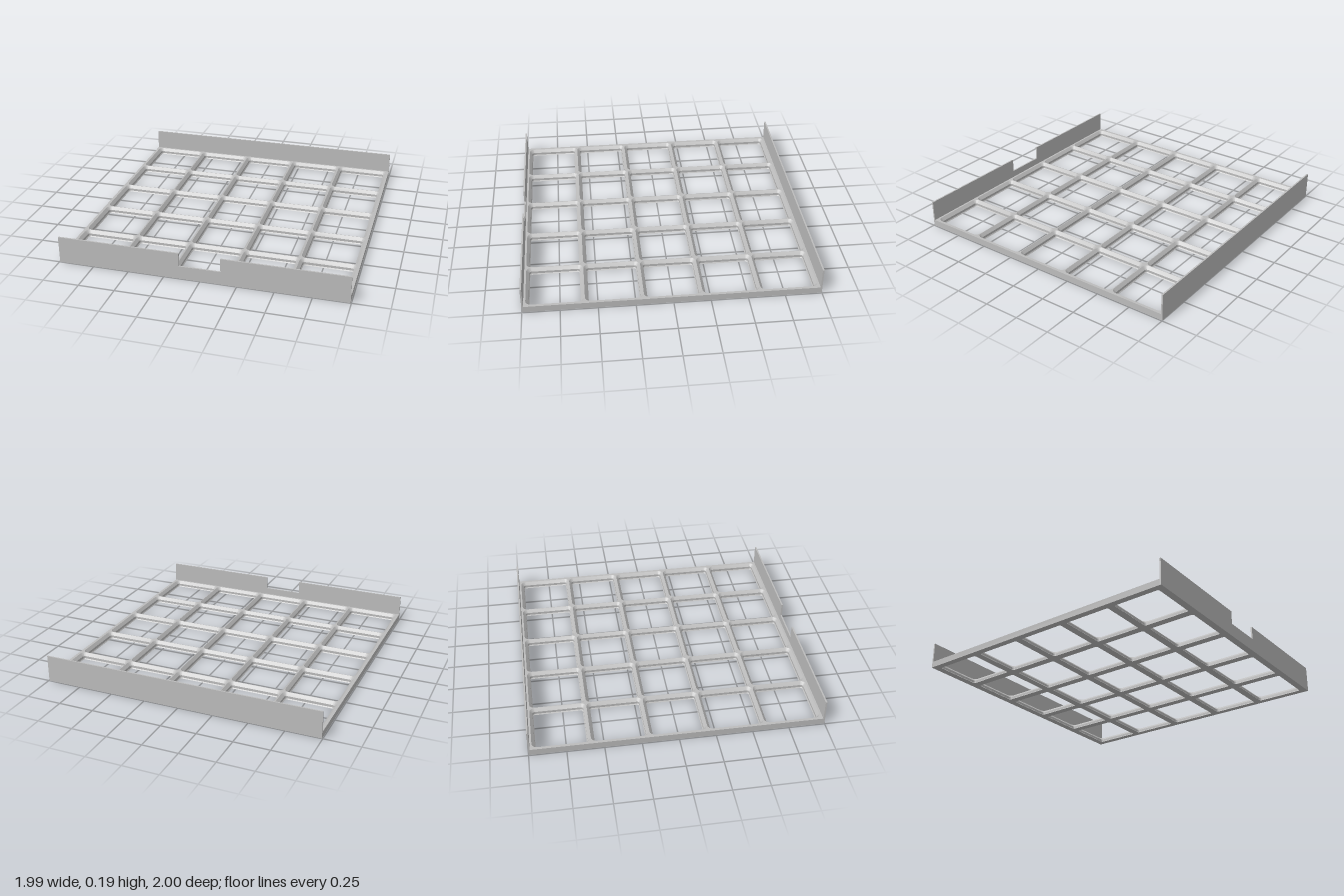
import * as THREE from 'three';
import { mergeGeometries, toCreasedNormals } from 'three/addons/utils/BufferGeometryUtils.js';

const HALF_X = 0.995, HALF_Z = 1, WALL = 0.011;
const PLATE_H = 0.044, WALL_H = 0.19;
const CELLS = 5, PITCH = 0.391;

// Pocket profile from top to bottom: height, half width, corner radius
const PROFILE = [
  [PLATE_H, 0.1935, 0.037],
  [0.0235, 0.1745, 0.018],
  [0.0065, 0.1745, 0.018],
  [0, 0.169, 0.0125],
];

// Counter-clockwise rounded square
function ring(cx, cy, half, radius, steps = 6) {
  const points = [];
  for (let corner = 0; corner < 4; corner++) {
    const mid = (corner + 0.5) * Math.PI / 2;
    const ox = cx + Math.sign(Math.cos(mid)) * (half - radius);
    const oy = cy + Math.sign(Math.sin(mid)) * (half - radius);
    for (let i = 0; i <= steps; i++) {
      const a = (corner + i / steps) * Math.PI / 2;
      points.push(new THREE.Vector2(ox + radius * Math.cos(a), oy + radius * Math.sin(a)));
    }
  }
  return points;
}

function rectangle(hx, hy) {
  return new THREE.Shape([[-hx, -hy], [hx, -hy], [hx, hy], [-hx, hy]].map(p => new THREE.Vector2(...p)));
}

// Stepped, chamfered sides of one pocket
function pocketSides(cx, cy) {
  const rings = PROFILE.map(([y, half, r]) => ring(cx, cy, half, r).map(p => [p.x, y, -p.y]));
  const positions = [];
  for (let k = 0; k < rings.length - 1; k++) {
    const top = rings[k], low = rings[k + 1];
    for (let i = 0; i < top.length; i++) {
      const j = (i + 1) % top.length;
      positions.push(...top[i], ...top[j], ...low[i], ...top[j], ...low[j], ...low[i]);
    }
  }
  const geometry = new THREE.BufferGeometry();
  geometry.setAttribute('position', new THREE.Float32BufferAttribute(positions, 3));
  geometry.computeVertexNormals();
  return geometry;
}

// Flat face of the plate, pierced by every pocket
function piercedFace(centres, [y, half, radius], tilt) {
  const shape = rectangle(HALF_X, HALF_Z - WALL);
  shape.holes = centres.map(([x, z]) => new THREE.Path(ring(x, z, half, radius).reverse()));
  return new THREE.ShapeGeometry(shape).rotateX(tilt).translate(0, y, 0);
}

function gridGeometry() {
  const centres = [];
  for (let i = 0; i < CELLS; i++) {
    for (let j = 0; j < CELLS; j++) {
      centres.push([(i - (CELLS - 1) / 2) * PITCH, (j - (CELLS - 1) / 2) * PITCH]);
    }
  }
  const parts = [
    piercedFace(centres, PROFILE[0], -Math.PI / 2),
    piercedFace(centres, PROFILE[PROFILE.length - 1], Math.PI / 2),
    ...centres.map(([x, z]) => pocketSides(x, z)),
  ];
  // Outer edges on the left and right
  for (const side of [-1, 1]) {
    parts.push(new THREE.PlaneGeometry(2 * (HALF_Z - WALL), PLATE_H)
      .rotateY(side * Math.PI / 2).translate(side * HALF_X, PLATE_H / 2, 0));
  }
  const plain = parts.map(part => {
    const g = part.index ? part.toNonIndexed() : part;
    g.deleteAttribute('uv');
    return g;
  });
  return toCreasedNormals(mergeGeometries(plain), 0.5);
}

// Upright wall, optionally with a central notch in its top edge
function wallGeometry(notched) {
  const notch = notched ? [[0.141, WALL_H], [0.141, 0.094], [-0.143, 0.094], [-0.143, WALL_H]] : [];
  const outline = [[-HALF_X, 0], [HALF_X, 0], [HALF_X, WALL_H], ...notch, [-HALF_X, WALL_H]];
  const shape = new THREE.Shape(outline.map(p => new THREE.Vector2(...p)));
  return new THREE.ExtrudeGeometry(shape, { depth: WALL, bevelEnabled: false });
}

export function createModel() {
  const group = new THREE.Group();
  group.name = 'gridTray';
  const grey = new THREE.MeshStandardMaterial({ color: 0xbcbcbc });
  grey.name = 'grey';

  const add = (name, geometry, z = 0) => {
    const mesh = new THREE.Mesh(geometry, grey);
    mesh.name = name;
    mesh.position.z = z;
    group.add(mesh);
  };
  add('gridPlate', gridGeometry());
  add('frontWall', wallGeometry(true), HALF_Z - WALL);
  add('backWall', wallGeometry(false), -HALF_Z);
  return group;
}
